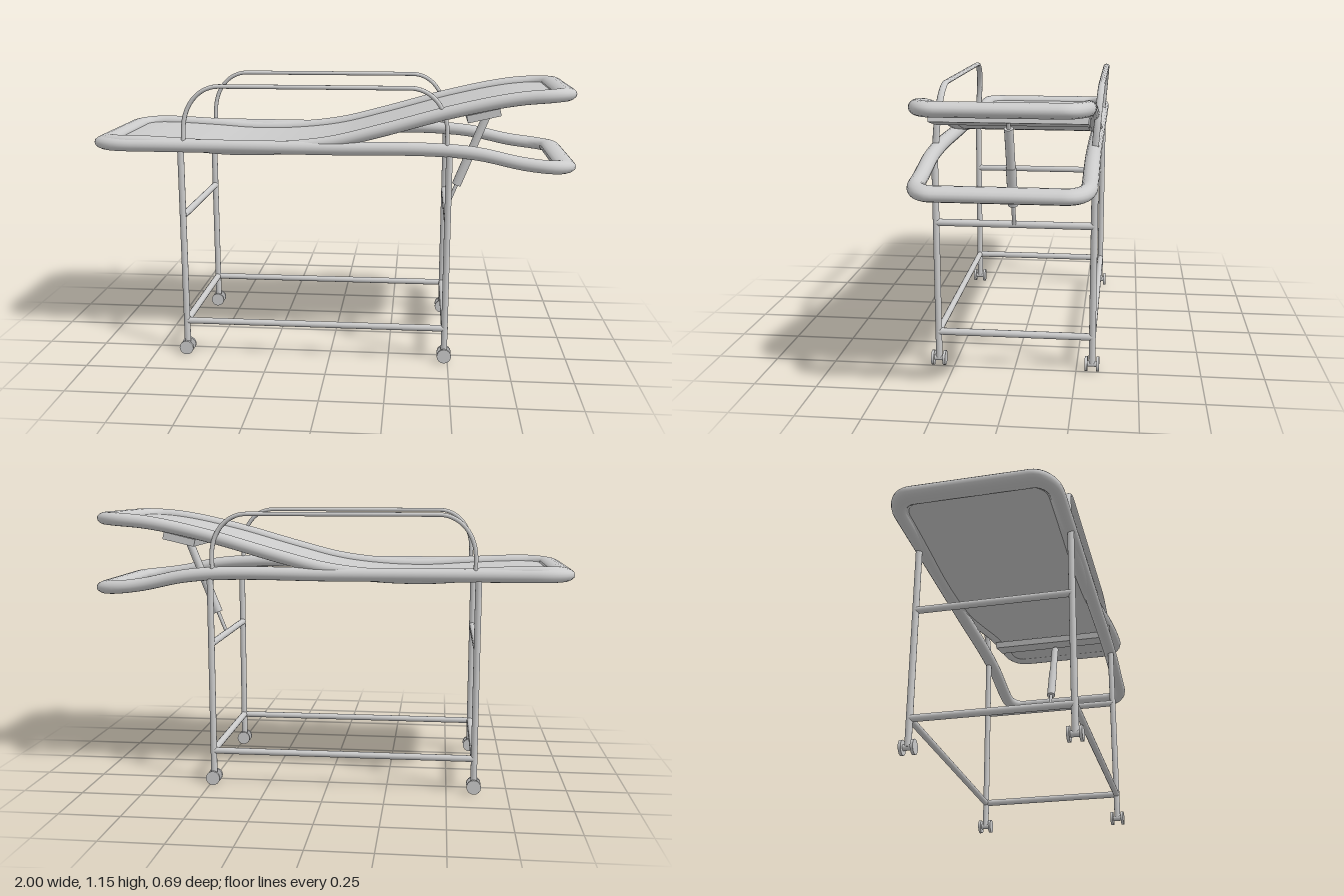
import * as THREE from 'three';
import { mergeVertices } from 'three/addons/utils/BufferGeometryUtils.js';

const material = new THREE.MeshStandardMaterial({ color: 0xcccccc });

// Smooth height along x through a few stations [x, y]
function heightCurve(stations) {
  const spline = new THREE.CubicInterpolant(stations.map((s) => s[0]), stations.map((s) => s[1]), 1);
  return (x) => spline.evaluate(x)[0];
}

const lowerHeight = heightCurve([[-1, 0.903], [-0.5, 0.902], [0, 0.9], [0.45, 0.9], [0.6, 0.887], [0.78, 0.85], [0.92, 0.834], [1, 0.83]]);
const upperHeight = heightCurve([[-1, 0.905], [-0.85, 0.914], [-0.6, 0.905], [-0.4, 0.893], [-0.2, 0.898], [0, 0.922],
  [0.2, 0.972], [0.5, 1.055], [0.75, 1.107], [0.9, 1.12], [1, 1.122]]);

function addMesh(parent, name, geometry) {
  const mesh = new THREE.Mesh(geometry, material);
  mesh.name = name;
  parent.add(mesh);
  return mesh;
}

// Raise every vertex by a height that depends on x
function bend(geometry, height) {
  const p = geometry.attributes.position;
  for (let i = 0; i < p.count; i++) p.setY(i, p.getY(i) + height(p.getX(i)));
  geometry.computeVertexNormals();
  return geometry;
}

// Round bar between two points
function addBar(parent, name, a, b, radius, sides = 14) {
  const from = new THREE.Vector3(...a);
  const dir = new THREE.Vector3(...b).sub(from);
  const mesh = addMesh(parent, name, new THREE.CylinderGeometry(radius, radius, dir.length(), sides));
  mesh.position.copy(from).addScaledVector(dir, 0.5);
  mesh.quaternion.setFromUnitVectors(new THREE.Vector3(0, 1, 0), dir.normalize());
  return mesh;
}

// Closed rounded-rectangle tube, stretched lengthwise so its ends are wider
function loopTube(x0, x1, halfWidth, radius, height) {
  const stretch = 1.5;
  const L = (x1 - x0) / 2 / stretch - radius;
  const W = halfWidth - radius;
  const c = 0.075;
  const shape = new THREE.Shape();
  shape.moveTo(-L + c, -W);
  shape.absarc(L - c, -W + c, c, -Math.PI / 2, 0);
  shape.absarc(L - c, W - c, c, 0, Math.PI / 2);
  shape.absarc(-L + c, W - c, c, Math.PI / 2, Math.PI);
  shape.absarc(-L + c, -W + c, c, Math.PI, Math.PI * 1.5);
  shape.closePath();
  const points = shape.getSpacedPoints(160).slice(0, -1).map((p) => new THREE.Vector3(p.x, 0, p.y));
  let geometry = new THREE.TubeGeometry(new THREE.CatmullRomCurve3(points, true), 240, radius, 16, true);
  geometry.deleteAttribute('uv');
  geometry.deleteAttribute('normal');
  geometry = mergeVertices(geometry, 1e-5);
  geometry.scale(stretch, 0.92, 1);
  geometry.translate((x0 + x1) / 2, 0, 0);
  return bend(geometry, height);
}

// Arched side rail of flattened bar, leaning slightly towards the back
function sideRail() {
  const x0 = -0.6, x1 = 0.475, top = 1.145, base = 0.9, r = 0.15;
  const path = new THREE.Path();
  path.moveTo(x0, base);
  path.lineTo(x0, top - r * 1.2);
  path.bezierCurveTo(x0, top - 0.07, x0 + 0.07, top, x0 + r, top);
  path.lineTo(x1 - r, top);
  path.bezierCurveTo(x1 - 0.07, top, x1, top - 0.07, x1, top - r * 1.2);
  path.lineTo(x1, base);
  const points = path.getSpacedPoints(60).map((p) => new THREE.Vector3(p.x, p.y, 0));
  const geometry = new THREE.TubeGeometry(new THREE.CatmullRomCurve3(points), 100, 0.009, 10);
  geometry.scale(1, 1, 1.5);
  const p = geometry.attributes.position;
  for (let i = 0; i < p.count; i++) p.setZ(i, p.getZ(i) - 0.08 * (p.getY(i) - base));
  return geometry;
}

export function createModel() {
  const model = new THREE.Group();
  model.name = 'wheeledStretcher';

  // Fixed and reclining loops with the bed sheet
  addMesh(model, 'lowerFrame', loopTube(-1, 0.998, 0.337, 0.03, lowerHeight));
  addMesh(model, 'upperFrame', loopTube(-0.992, 0.988, 0.326, 0.03, upperHeight));
  const sheet = new THREE.BoxGeometry(1.84, 0.02, 0.575, 64, 1, 1);
  sheet.translate(-0.005, -0.008, 0);
  addMesh(model, 'bedSurface', bend(sheet, upperHeight));

  // Side rails
  for (const [name, z] of [['leftRail', 0.312], ['rightRail', -0.31]]) {
    addMesh(model, name, sideRail()).position.z = z;
  }

  // Legs, double-wheel casters and braces
  const legX = [-0.613, 0.485];
  const legZ = 0.314;
  for (const x of legX) {
    for (const z of [-legZ, legZ]) {
      addBar(model, 'leg', [x, 0.03, z], [x, 0.9, z], 0.0135);
      const caster = new THREE.Group();
      caster.name = 'caster';
      caster.position.set(x, 0.03, z);
      model.add(caster);
      addBar(caster, 'axle', [0, 0, -0.024], [0, 0, 0.024], 0.012);
      for (const s of [-1, 1]) addBar(caster, 'wheel', [0, 0, s * 0.018], [0, 0, s * 0.029], 0.03, 16);
    }
    addBar(model, 'lowerCrossBrace', [x, 0.145, -legZ], [x, 0.145, legZ], 0.0145);
    addBar(model, 'upperCrossBrace', [x, 0.606, -legZ], [x, 0.606, legZ], 0.0145);
  }
  for (const z of [-legZ, legZ]) {
    addBar(model, 'longBrace', [legX[0], 0.145, z], [legX[1], 0.145, z], 0.0135);
  }

  // Lifting strut and the plate it pushes against
  const bottom = new THREE.Vector3(0.495, 0.61, 0);
  const top = new THREE.Vector3(0.665, 1.04, 0);
  const along = (t) => bottom.clone().lerp(top, t).toArray();
  addBar(model, 'strutRod', along(0), along(1), 0.008);
  addBar(model, 'strutCylinder', along(0.2), along(0.57), 0.02);
  addBar(model, 'strutSleeve', along(0.57), along(0.94), 0.0175);
  const plate = addMesh(model, 'strutPlate', new THREE.BoxGeometry(0.135, 0.03, 0.59));
  plate.position.set(0.618, 1.038, 0);
  plate.rotation.z = 0.23;

  return model;
}
